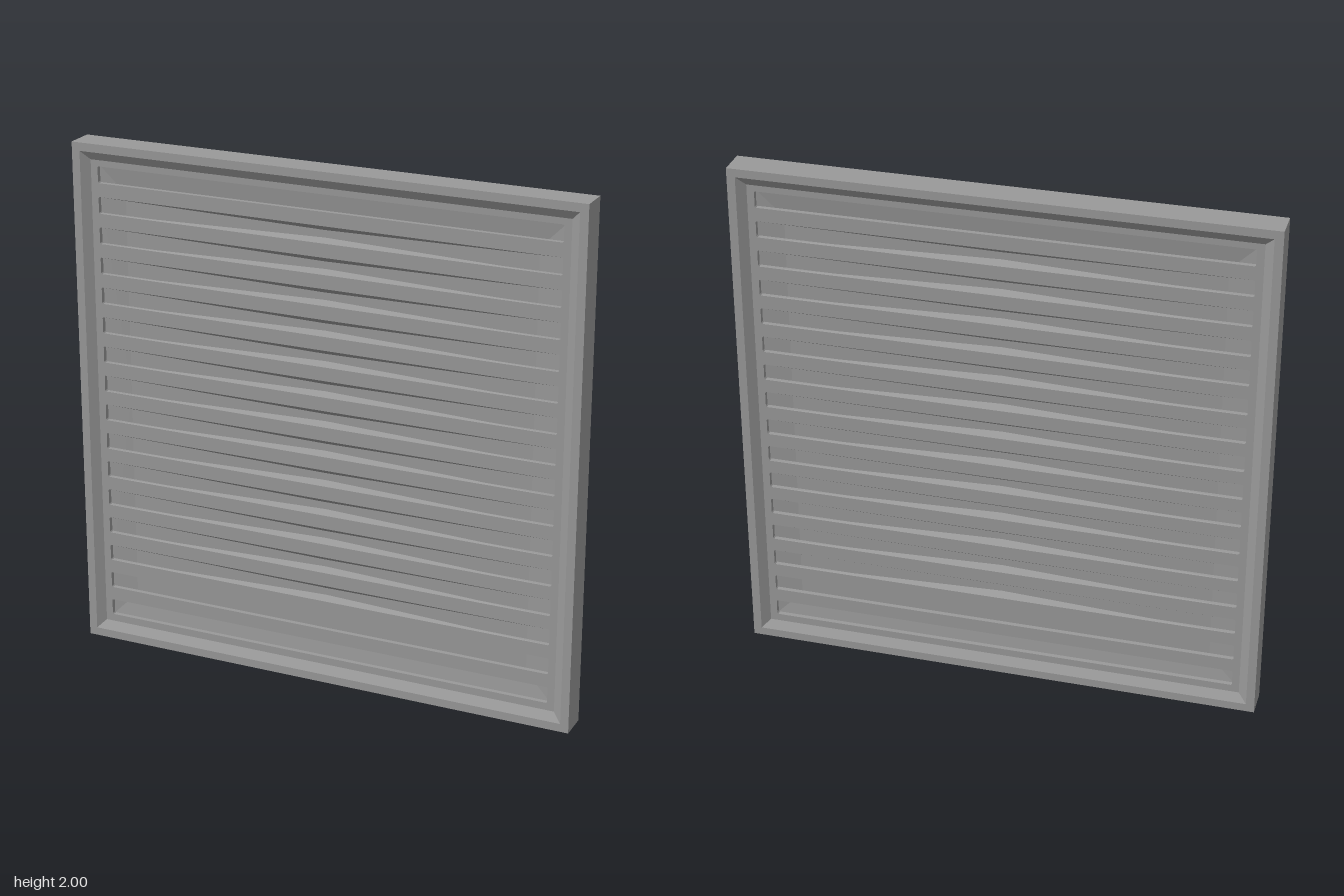
import * as THREE from 'three';

const material = new THREE.MeshStandardMaterial({ color: 0x999999, flatShading: true, side: THREE.DoubleSide });
const DEPTH = 0.057, PLATE = 0.035, THICK = 0.018, CORE = 0.001;
const SLOTS = 16, SLOT_W = 0.907, SLOT_H = 0.064, STEP = 0.1169, FIRST = 0.126;

function mesh(name, geometry) {
  const m = new THREE.Mesh(geometry, material);
  m.name = name;
  return m;
}

// Closed outline of a rectangle with clipped corners
function clippedRect(path, x, y, w, h, r) {
  path.moveTo(x + r, y);
  path.lineTo(x + w - r, y);
  path.lineTo(x + w, y + r);
  path.lineTo(x + w, y + h - r);
  path.lineTo(x + w - r, y + h);
  path.lineTo(x + r, y + h);
  path.lineTo(x, y + h - r);
  path.lineTo(x, y + r);
  path.lineTo(x + r, y);
  return path;
}

function faces(points, index) {
  const g = new THREE.BufferGeometry();
  g.setAttribute('position', new THREE.Float32BufferAttribute(points.flat(), 3));
  g.setIndex(index);
  g.computeVertexNormals();
  return g;
}

// Square mitred frame: a four-sided lathe with bevelled inner edges
function frame() {
  const profile = [
    [1, -DEPTH], [1, DEPTH], [0.968, DEPTH], [0.935, PLATE],
    [0.935, -PLATE], [0.968, -DEPTH], [1, -DEPTH],
  ].map(([r, z]) => new THREE.Vector2(r * Math.SQRT2, z));
  const g = new THREE.LatheGeometry(profile, 4);
  g.rotateY(Math.PI / 4).rotateX(Math.PI / 2).translate(0, 1, 0);
  return mesh('frame', g);
}

// Slotted plate
function plate() {
  const shape = clippedRect(new THREE.Shape(), -0.94, 0.06, 1.88, 1.88, 0.001);
  for (let i = 0; i < SLOTS; i++) {
    const y = FIRST + i * STEP - SLOT_H / 2;
    shape.holes.push(clippedRect(new THREE.Path(), -SLOT_W, y, SLOT_W * 2, SLOT_H, 0.004));
  }
  const g = new THREE.ExtrudeGeometry(shape, { depth: THICK, bevelEnabled: false });
  return mesh('slottedPlate', g.translate(0, 0, PLATE - THICK));
}

// Shallow hipped dish that closes the slots from behind
function dish() {
  const rect = (r, z) => [[-r, 1 - r, z], [r, 1 - r, z], [r, 1 + r, z], [-r, 1 + r, z]];
  const index = [4, 5, 6, 4, 6, 7];
  for (let i = 0; i < 4; i++) {
    const j = (i + 1) % 4;
    index.push(i, j, j + 4, i, j + 4, i + 4);
  }
  return mesh('innerDish', faces([...rect(0.935, PLATE - THICK), ...rect(0.81, CORE)], index));
}

// Thin webs running from the slot edges back to the middle of the dish
function louvres() {
  const group = new THREE.Group();
  group.name = 'louvreWebs';
  for (let i = 2; i < SLOTS - 1; i++) {
    const y = FIRST + i * STEP, top = y + SLOT_H / 2, low = y - SLOT_H / 2;
    group.add(mesh('louvreWeb', faces([
      [-SLOT_W, top, PLATE], [SLOT_W, top, PLATE], [0, top - 0.024, CORE],
      [-SLOT_W, low, PLATE], [SLOT_W, low, PLATE], [0, low + 0.012, CORE],
    ], [0, 2, 1, 3, 4, 5])));
  }
  // Slanted side webs behind the slot ends
  for (const s of [-1, 1]) {
    group.add(mesh('sideWeb', faces([
      [s * SLOT_W, 1.79, PLATE - THICK], [s * SLOT_W, 0.33, PLATE - THICK], [s * 0.81, 1.03, CORE + 0.004],
    ], s < 0 ? [0, 1, 2] : [0, 2, 1])));
  }
  return group;
}

export function createModel() {
  const model = new THREE.Group();
  model.name = 'ventGrille';
  model.add(frame());
  // Both sides carry the same grille
  for (const [name, turn] of [['frontGrille', 0], ['backGrille', Math.PI]]) {
    const side = new THREE.Group();
    side.name = name;
    side.add(plate(), dish(), louvres());
    side.rotation.y = turn;
    model.add(side);
  }
  return model;
}
